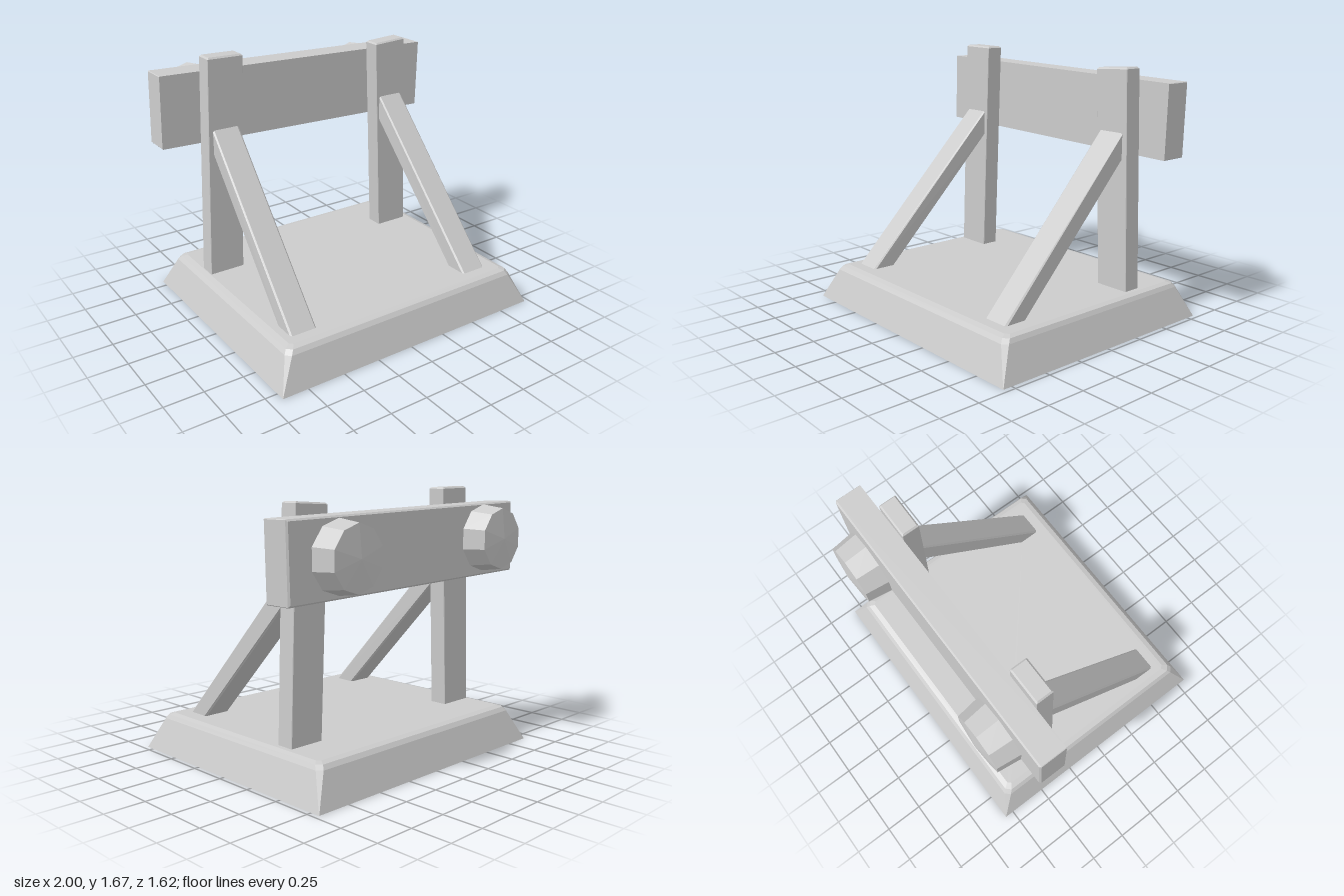
import * as THREE from 'three';

const material = new THREE.MeshStandardMaterial({ color: 0xcccccc, flatShading: true, side: THREE.DoubleSide });

// Four corners with each corner cut off by c, giving a loop of eight points
function section(corners, c) {
  const pts = corners.map((p) => new THREE.Vector3(...p));
  return pts.flatMap((p, i) => [pts[(i + 3) % 4], pts[(i + 1) % 4]].map((q) => {
    const step = q.clone().sub(p).setLength(c);
    return p.clone().add(step);
  }));
}

// Horizontal rectangle, anticlockwise from above
const rect = (y, xl, xr, zb, zf, c) => section([[xr, y, zf], [xr, y, zb], [xl, y, zb], [xl, y, zf]], c);

// Skin over a row of loops; the last loop is always closed
function loft(name, loops, closeStart = false) {
  const n = loops[0].length;
  const index = [];
  for (let k = 0; k < loops.length - 1; k++) {
    for (let i = 0; i < n; i++) {
      const j = (i + 1) % n;
      const a = k * n + i, b = k * n + j;
      index.push(a, b, b + n, a, b + n, a + n);
    }
  }
  const last = (loops.length - 1) * n;
  for (let i = 1; i < n - 1; i++) {
    index.push(last, last + i, last + i + 1);
    if (closeStart) index.push(0, i + 1, i);
  }
  let geometry = new THREE.BufferGeometry().setFromPoints(loops.flat());
  geometry.setIndex(index);
  geometry = geometry.toNonIndexed();
  geometry.computeVertexNormals();
  const mesh = new THREE.Mesh(geometry, material);
  mesh.name = name;
  return mesh;
}

// Upright post leaning inward, open below, bevelled on top
function post(name, bottom, top, yLeft, yRight) {
  const b = 0.01, zb = -0.43, zf = -0.315;
  const ring = (yl, yr, xl, xr, inset) => section([
    [xr - inset, yr, zf - inset], [xr - inset, yr, zb + inset],
    [xl + inset, yl, zb + inset], [xl + inset, yl, zf - inset]], 0.003);
  return loft(name, [
    ring(0.18, 0.18, ...bottom, 0),
    ring(yLeft - b, yRight - b, ...top, 0),
    ring(yLeft, yRight, ...top, b),
  ]);
}

// Sloping brace from the base up to the front of a post
function brace(name, [fl, fr], [hl, hr]) {
  const ring = (xl, xr, upper, lower) => section([
    [xr, ...upper], [xr, ...lower], [xl, ...lower], [xl, ...upper]], 0.01);
  return loft(name, [
    ring(fl, fr, [0.198, 0.647], [0.12, 0.565]),
    ring(hl, hr, [1.225, -0.325], [1.055, -0.325]),
  ]);
}

// Ten-sided knob with a shallow pointed back
function knob(name, x, y) {
  const profile = [[0.21, 0], [0.19, 0.15], [0, 0.17]].map((p) => new THREE.Vector2(...p));
  const mesh = new THREE.Mesh(new THREE.LatheGeometry(profile, 10), material);
  mesh.rotation.x = -Math.PI / 2;
  mesh.position.set(x, y, -0.625);
  mesh.name = name;
  return mesh;
}

export function createModel() {
  const model = new THREE.Group();
  model.name = 'stand';

  // Hollow base with sloping sides and a rounded upper rim
  model.add(loft('base', [
    rect(0, -0.92, 0.97, -0.81, 0.81, 0.001),
    rect(0.2, -0.84, 0.895, -0.735, 0.735, 0.03),
    rect(0.225, -0.82, 0.88, -0.715, 0.715, 0.03),
    rect(0.235, -0.785, 0.85, -0.68, 0.68, 0.02),
  ]));

  // Posts and braces
  model.add(post('rightPost', [-0.782, -0.545], [-0.72, -0.482], 1.672, 1.667));
  model.add(post('leftPost', [0.59, 0.822], [0.535, 0.775], 1.593, 1.605));
  model.add(brace('rightBrace', [-0.742, -0.565], [-0.71, -0.53]));
  model.add(brace('leftBrace', [0.585, 0.762], [0.572, 0.755]));

  // Slightly crooked cross board with a bevelled back
  const board = (z, s) => section([
    [-1 + s, 1.115 + s, z], [-0.985 + s, 1.575 - s, z],
    [0.997 - s, 1.522 - s, z], [0.985 - s, 1.065 + s, z]], 0.004);
  model.add(loft('crossBoard', [board(-0.43, 0), board(-0.598, 0), board(-0.608, 0.01)], true));

  // Knobs behind the board
  model.add(knob('rightKnob', -0.645, 1.35), knob('leftKnob', 0.64, 1.31));
  return model;
}
